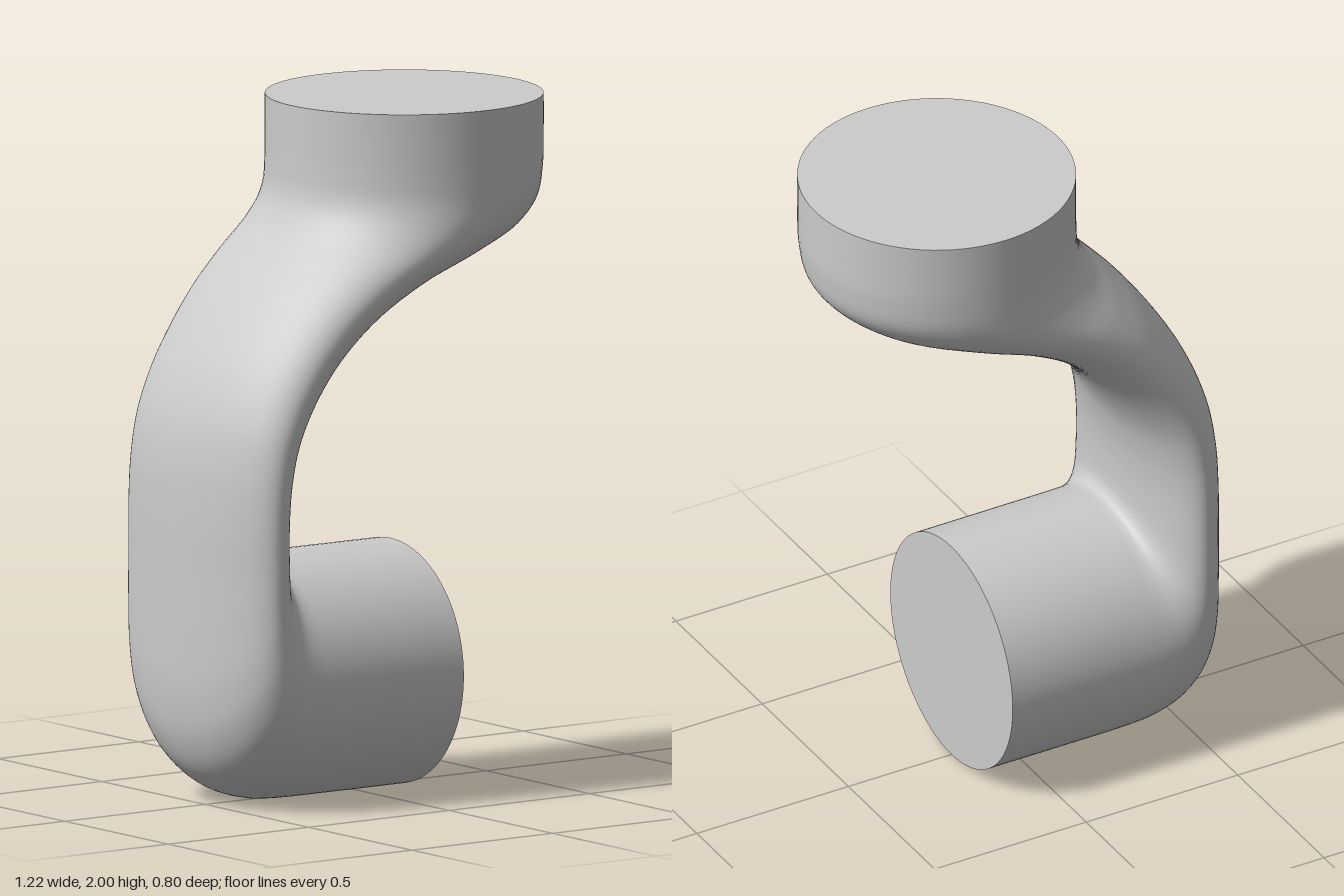
import * as THREE from 'three';

// Stations along the arm: outer edge x, y, inner edge x, y, half width in z
const STATIONS = [
  [0.16, 0, 0.16, 0.71, 0.355],
  [-0.1, 0, -0.1, 0.711, 0.355],
  [-0.3, 0.002, -0.3, 0.712, 0.355],
  [-0.38, 0.01, -0.325, 0.713, 0.355],
  [-0.47, 0.042, -0.338, 0.716, 0.355],
  [-0.54, 0.105, -0.346, 0.722, 0.355],
  [-0.585, 0.2, -0.352, 0.73, 0.355],
  [-0.605, 0.32, -0.357, 0.742, 0.354],
  [-0.61, 0.48, -0.36, 0.76, 0.353],
  [-0.61, 0.68, -0.362, 0.8, 0.352],
  [-0.61, 0.85, -0.36, 0.87, 0.352],
  [-0.603, 1.0, -0.348, 0.96, 0.352],
  [-0.58, 1.13, -0.32, 1.06, 0.353],
  [-0.53, 1.26, -0.26, 1.17, 0.355],
  [-0.46, 1.38, -0.17, 1.28, 0.36],
  [-0.38, 1.49, -0.04, 1.385, 0.37],
  [-0.3, 1.58, 0.14, 1.48, 0.384],
  [-0.24, 1.65, 0.35, 1.555, 0.395],
  [-0.207, 1.71, 0.51, 1.625, 0.4],
  [-0.195, 1.76, 0.585, 1.7, 0.4],
  [-0.192, 1.82, 0.606, 1.79, 0.4],
  [-0.191, 1.9, 0.609, 1.9, 0.4],
  [-0.191, 2, 0.609, 2, 0.4],
];

// Loft of elliptical sections between an outer and an inner edge curve
function loft(stations, rings, sides) {
  const outer = new THREE.CatmullRomCurve3(stations.map((s) => new THREE.Vector3(s[0], s[1], s[4])));
  const inner = new THREE.CatmullRomCurve3(stations.map((s) => new THREE.Vector3(s[2], s[3], 0)));
  const positions = [];
  const index = [];
  for (let i = 0; i <= rings; i++) {
    const o = outer.getPoint(i / rings);
    const n = inner.getPoint(i / rings);
    for (let j = 0; j < sides; j++) {
      const a = (j / sides) * Math.PI * 2;
      const k = (1 + Math.cos(a)) / 2;
      positions.push(o.x + (n.x - o.x) * k, o.y + (n.y - o.y) * k, o.z * Math.sin(a));
      if (i < rings) {
        const p = i * sides + j;
        const q = i * sides + ((j + 1) % sides);
        index.push(p, p + sides, q, q, p + sides, q + sides);
      }
    }
  }
  const geometry = new THREE.BufferGeometry();
  geometry.setAttribute('position', new THREE.Float32BufferAttribute(positions, 3));
  geometry.setIndex(index);
  geometry.computeVertexNormals();
  return geometry;
}

export function createModel() {
  const group = new THREE.Group();
  group.name = 'armLink';
  const material = new THREE.MeshStandardMaterial({ color: 0xcccccc });
  const sides = 80;
  const add = (name, geometry) => {
    const mesh = new THREE.Mesh(geometry, material);
    mesh.name = name;
    group.add(mesh);
    return mesh;
  };

  // Curved arm from the lower joint round the elbow up to the top joint
  add('curvedArm', loft(STATIONS, (STATIONS.length - 1) * 6, sides));

  // Flat joint faces
  const lower = add('lowerJointFace', new THREE.CircleGeometry(0.355, sides).rotateY(Math.PI / 2));
  lower.position.set(0.16, 0.355, 0);
  const upper = add('upperJointFace', new THREE.CircleGeometry(0.4, sides).rotateX(-Math.PI / 2));
  upper.position.set(0.209, 2, 0);

  return group;
}
